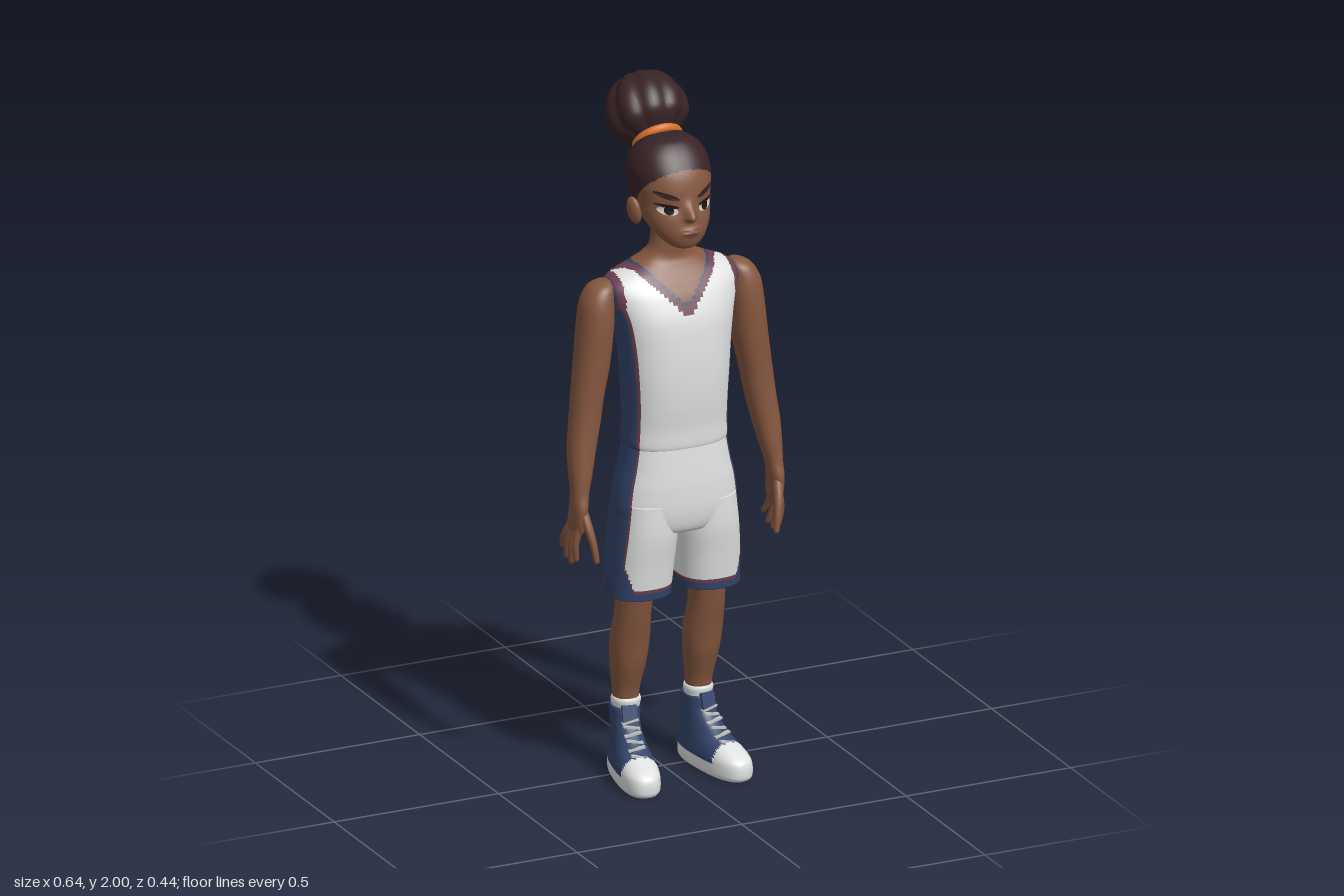
import * as THREE from 'three';
import { mergeVertices } from 'three/addons/utils/BufferGeometryUtils.js';

const mat = (name, color) => Object.assign(new THREE.MeshStandardMaterial({ color }), { name });
const skin = mat('skin', 0x85573f), hair = mat('hair', 0x382326), white = mat('white cloth', 0xdfe1e1);
const blue = mat('navy trim', 0x33456b), maroon = mat('maroon piping', 0x6e3f4e), orange = mat('orange band', 0xd9702c);
const eyeWhite = mat('eye white', 0xd2c8c0), dark = mat('dark eye', 0x1e1414), lip = mat('lips', 0x714434);
const laceGrey = mat('laces', 0xc3c4c0);

const gauss = (v, s) => Math.exp(-((v / s) ** 2));
const step = THREE.MathUtils.smoothstep;

// Smoothly interpolated cross-section [y, cx, cz, rx, rz, power] at t in 0..1
function sectionAt(rings, t) {
  const n = rings.length - 1, f = Math.min(t * n, n - 1e-6), i = Math.floor(f), u = f - i;
  const get = (k, c) => rings[Math.max(0, Math.min(n, k))][c] ?? 2.2;
  return [0, 1, 2, 3, 4, 5].map(c => {
    const a = get(i - 1, c), b = get(i, c), d = get(i + 1, c), e = get(i + 2, c);
    return b + 0.5 * u * (d - a + u * (2 * a - 5 * b + 4 * d - e + u * (3 * (b - d) + e - a)));
  });
}

// Upward loft through superellipse rings; paint picks a material per face, warp moves vertices
function loft(name, rings, material, { rows = 24, segs = 24, paint, warp } = {}) {
  const pos = [], groups = new Map();
  const add = (x, y, z, c) => {
    const v = new THREE.Vector3(x, y, z);
    if (warp) warp(v, c);
    pos.push(v.x, v.y, v.z);
  };
  for (let i = 0; i <= rows; i++) {
    const [y, cx, cz, rx, rz, p] = sectionAt(rings, i / rows);
    for (let j = 0; j < segs; j++) {
      const a = j / segs * Math.PI * 2, c = Math.cos(a), s = Math.sin(a);
      add(cx + rx * Math.sign(c) * Math.abs(c) ** (2 / p), y, cz + rz * Math.sign(s) * Math.abs(s) ** (2 / p), c);
    }
  }
  const first = rings[0], last = rings[rings.length - 1], base = (rows + 1) * segs;
  add(first[1], first[0], first[2], 0);
  add(last[1], last[0], last[2], 0);
  const face = (tris, j) => {
    const c = Math.cos((j + 0.5) / segs * Math.PI * 2);
    const mid = k => tris.reduce((sum, v) => sum + pos[v * 3 + k], 0) / tris.length;
    const m = paint ? paint(mid(0), mid(1), mid(2), c) : material;
    if (!groups.has(m)) groups.set(m, []);
    groups.get(m).push(...tris);
  };
  for (let j = 0; j < segs; j++) {
    const k = (j + 1) % segs, top = rows * segs;
    face([base, j, k], j);
    for (let i = 0; i < rows; i++) {
      const A = i * segs + j, B = i * segs + k, C = A + segs, D = B + segs;
      face([A, C, B, B, C, D], j);
    }
    face([base + 1, top + k, top + j], j);
  }
  const g = new THREE.BufferGeometry(), index = [], mats = [...groups.keys()];
  g.setAttribute('position', new THREE.Float32BufferAttribute(pos, 3));
  mats.forEach((m, n) => {
    const list = groups.get(m);
    g.addGroup(index.length, list.length, n);
    for (const v of list) index.push(v);
  });
  g.setIndex(index);
  g.computeVertexNormals();
  const mesh = new THREE.Mesh(g, mats.length > 1 ? mats : mats[0]);
  mesh.name = name;
  return mesh;
}

// Head sections and the relief of nose, lips and eye sockets
const headRings = [[1.572, 0, .125, .02, .025], [1.582, 0, .125, .042, .043], [1.605, 0, .11, .066, .067], [1.635, 0, .086, .086, .091],
  [1.665, 0, .064, .097, .109], [1.7, 0, .047, .103, .118], [1.75, 0, .036, .112, .123], [1.79, 0, .032, .111, .114],
  [1.83, 0, .032, .094, .087], [1.858, 0, .033, .062, .055], [1.868, 0, .033, .025, .025]];
const relief = (x, y) => .03 * gauss(x, .014) * gauss(y - 1.672, y > 1.672 ? .03 : .011)
  + .008 * gauss(x, .03) * gauss(y - 1.627, .012)
  - .006 * gauss(Math.abs(x) - .055, .025) * gauss(y - 1.69, .02);
function faceZ(x, y) {
  let lo = 0, hi = 1;
  for (let i = 0; i < 24; i++) {
    const m = (lo + hi) / 2;
    if (sectionAt(headRings, m)[0] < y) lo = m; else hi = m;
  }
  const [, , cz, rx, rz, p] = sectionAt(headRings, lo);
  return cz + rz * Math.max(0, 1 - Math.abs(x / rx) ** p) ** (1 / p) + relief(x, y);
}
// Thin elliptical detail laid on the face
function patch(name, material, x, y, w, h, tilt, lift) {
  const g = new THREE.CircleGeometry(1, 28).scale(w, h, 1).rotateZ(tilt).translate(x, y, 0), p = g.attributes.position;
  for (let i = 0; i < p.count; i++) p.setZ(i, faceZ(p.getX(i), p.getY(i)) + lift);
  g.computeVertexNormals();
  return Object.assign(new THREE.Mesh(g, material), { name });
}

function hairPaint(x, y, z) {
  const edge = y < 1.7 ? .035 : .05 + (y - 1.7) * .95;
  return y > 1.617 && z < edge ? hair : skin;
}

function shirtPaint(x, y, z, c) {
  const ax = Math.abs(x), f = step(z, 0, .08);
  const neck = (1 - f) * (1.495 + .15 * ax) + f * (1.405 + 1.05 * ax);
  if (y > neck) return skin;
  if (y > neck - .01) return blue;
  if (y > neck - .034) return maroon;
  const side = y > 1.4 ? (ax - .165) / .018 : (Math.abs(c) - .87) / .03;
  return side > 1 ? blue : side > 0 ? maroon : white;
}

export function createModel() {
  const model = new THREE.Group();
  model.name = 'basketballPlayer';
  const add = (...meshes) => model.add(...meshes);

  // Shirt with neck
  add(loft('shirtAndNeck', [[.985, 0, .07, .144, .097, 2.4], [1.0, 0, .07, .151, .103, 2.4], [1.05, 0, .071, .149, .104, 2.4],
    [1.12, 0, .072, .15, .11, 2.4], [1.2, 0, .0725, .155, .1125, 2.4], [1.28, 0, .069, .162, .113, 2.4], [1.36, 0, .061, .174, .111, 2.5],
    [1.42, 0, .05, .192, .1, 2.5], [1.455, 0, .042, .2, .088, 2.4], [1.48, 0, .036, .178, .077, 2.3], [1.503, 0, .032, .125, .066],
    [1.525, 0, .034, .082, .054], [1.56, 0, .042, .057, .045], [1.64, 0, .045, .052, .045]],
    white, { rows: 130, segs: 128, paint: shirtPaint }));

  // Seat of the shorts
  add(loft('shortsSeat', [[.735, 0, .065, .11, .07], [.75, 0, .066, .16, .1, 2.3], [.8, 0, .0675, .179, .112, 2.4], [.87, 0, .068, .173, .113, 2.4],
    [.93, 0, .068, .159, .109, 2.4], [1.0, 0, .07, .146, .1, 2.4]], white, { rows: 40, segs: 96,
    paint: (x, y, z, c) => Math.abs(c) > .9 ? blue : Math.abs(c) > .875 ? maroon : white }));

  // Head, hair bun and band
  add(loft('head', headRings, skin, { rows: 100, segs: 128, paint: hairPaint,
    warp: v => { if (v.z > .1) v.z += relief(v.x, v.y); } }));
  let bun = new THREE.SphereGeometry(.113, 72, 40);
  const p = bun.attributes.position, v = new THREE.Vector3();
  for (let i = 0; i < p.count; i++) {
    v.fromBufferAttribute(p, i);
    const ring = Math.hypot(v.x, v.z) / .113, phi = Math.atan2(v.z, v.x);
    v.multiplyScalar(1 + ring * (.09 * Math.abs(Math.sin(4.5 * phi + v.y * 6)) - .05));
    const taper = 1 - .35 * (1 - step(v.y, -.1, -.04));
    p.setXYZ(i, v.x * taper, Math.max(v.y, -.09), v.z * taper);
  }
  bun.deleteAttribute('uv');
  bun.deleteAttribute('normal');
  bun = mergeVertices(bun, 1e-5);
  bun.computeVertexNormals();
  const bunMesh = new THREE.Mesh(bun, hair), band = new THREE.Mesh(new THREE.TorusGeometry(.06, .013, 10, 40).rotateX(Math.PI / 2), orange);
  bunMesh.name = 'hairBun';
  band.name = 'hairBand';
  bunMesh.position.set(0, 1.887, -.104);
  band.position.set(0, 1.829, -.036);
  bunMesh.rotation.x = band.rotation.x = -.85;
  add(bunMesh, band);
  add(patch('upperLip', lip, 0, 1.632, .028, .006, 0, .002), patch('lowerLip', lip, 0, 1.621, .022, .006, 0, .002));

  for (const s of [1, -1]) {
    const side = s > 0 ? 'left' : 'right';
    const m = rings => rings.map(([y, x, ...rest]) => [y, x * s, ...rest]);

    // Facial features
    add(patch(side + 'EyeWhite', eyeWhite, s * .056, 1.691, .025, .013, s * .12, .003),
      patch(side + 'Iris', dark, s * .054, 1.691, .012, .0125, 0, .0045),
      patch(side + 'Lash', dark, s * .058, 1.704, .029, .005, s * .15, .005),
      patch(side + 'Brow', hair, s * .058, 1.732, .033, .008, s * .33, .003));
    const ear = new THREE.Mesh(new THREE.SphereGeometry(1, 20, 14), skin);
    ear.name = side + 'Ear';
    ear.scale.set(.014, .04, .025);
    ear.position.set(s * .108, 1.664, .042);
    ear.rotation.set(-.15, s * -.3, s * -.15);
    add(ear);

    // Arm with palm
    add(loft(side + 'Arm', m([[.765, .301, .077, .013, .034], [.785, .301, .079, .018, .041], [.835, .299, .088, .021, .04], [.88, .295, .086, .024, .033],
      [.93, .289, .078, .031, .038], [1.0, .28, .066, .039, .044], [1.08, .266, .058, .043, .047], [1.15, .256, .053, .045, .051],
      [1.25, .24, .049, .049, .058], [1.36, .228, .046, .049, .061], [1.42, .222, .044, .045, .056], [1.458, .21, .042, .035, .043],
      [1.474, .2, .04, .016, .02]]), skin, { rows: 60, segs: 28 }));

    // Fingers and thumb
    [[.105, .088, .682], [.089, .058, .667], [.072, .027, .672], [.055, 0, .695]].forEach(([z0, z1, y1], i) => {
      add(loft(side + 'Finger' + (i + 1), m([[y1, .306, z1, .003, .003], [y1 + .006, .307, z1 + .002, .008, .008],
        [(y1 + .79) / 2, .312, (z0 + z1) / 2, .01, .01], [.79, .302, z0, .012, .011]]), skin, { rows: 12, segs: 12 }));
    });
    add(loft(side + 'Thumb', m([[.69, .273, .151, .003, .003], [.698, .274, .15, .008, .008], [.74, .28, .145, .01, .011],
      [.79, .289, .13, .013, .014], [.84, .296, .105, .013, .016]]), skin, { rows: 16, segs: 14 }));

    // Shorts leg with a notched side hem
    add(loft(side + 'ShortsLeg', m([[.553, .105, .055, .088, .093, 2.4], [.65, .1, .06, .09, .1, 2.4], [.74, .093, .064, .089, .108, 2.4],
      [.83, .088, .067, .084, .106, 2.3]]), white, { rows: 60, segs: 80,
      warp: (q, c) => {
        if (c * s > .3) q.y += .045 * Math.max(0, 1 - Math.abs(q.z - .055) / .035) * Math.max(0, 1 - (q.y - .553) / .1);
      },
      paint: (x, y, z, c) => {
        const edge = c * s - (.84 - .4 * Math.max(0, (.65 - y) / .09));
        if (y < .574 || edge > 0) return blue;
        return y < .584 || edge > -.03 ? maroon : white;
      } }));

    // Leg and sock
    add(loft(side + 'Leg', m([[.18, .11, -.007, .033, .033], [.25, .111, -.005, .038, .04], [.33, .111, .009, .049, .052], [.4, .111, .02, .054, .055],
      [.47, .112, .038, .05, .053], [.52, .111, .046, .05, .055], [.6, .108, .055, .056, .06]]), skin, { rows: 36, segs: 28 }));
    add(loft(side + 'Sock', m([[.15, .11, -.008, .036, .038], [.19, .11, -.007, .037, .038], [.215, .11, -.006, .041, .041],
      [.225, .11, -.006, .038, .038]]), white, { rows: 14, segs: 28 }));

    // High-top shoe with white sole, toe cap and laces
    const shoe = new THREE.Group();
    shoe.name = side + 'Shoe';
    shoe.add(loft(side + 'ShoeBody', [[0, 0, .068, .046, .144, 2.5], [.012, 0, .068, .053, .151, 2.5], [.042, 0, .068, .053, .15, 2.5],
      [.06, 0, .063, .051, .143, 2.4], [.08, 0, .045, .047, .122, 2.3], [.1, 0, .022, .043, .097], [.13, 0, .002, .039, .073],
      [.16, 0, -.012, .04, .058], [.193, 0, -.014, .042, .052], [.199, 0, -.012, .037, .045]], blue, { rows: 60, segs: 64,
      warp: q => { q.x *= 1 + .7 * q.z; },
      paint: (x, y, z) => y < .04 || z > .137 ? white : blue }));
    const tongue = new THREE.Mesh(new THREE.BoxGeometry(.042, .06, .012), blue);
    tongue.name = side + 'ShoeTongue';
    tongue.position.set(0, .178, .038);
    tongue.rotation.x = -.25;
    shoe.add(tongue);
    [[.092, .133], [.106, .109], [.12, .089], [.135, .071], [.15, .056], [.164, .046]].forEach(([y, z], i) => {
      const lace = new THREE.Mesh(new THREE.BoxGeometry(.048, .006, .012), laceGrey);
      lace.name = side + 'Lace' + (i + 1);
      lace.position.set(0, y, z - .002);
      lace.rotation.z = i % 2 ? .2 : -.2;
      shoe.add(lace);
    });
    shoe.position.x = s * .113;
    shoe.rotation.y = s * .16;
    add(shoe);
  }
  return model;
}
